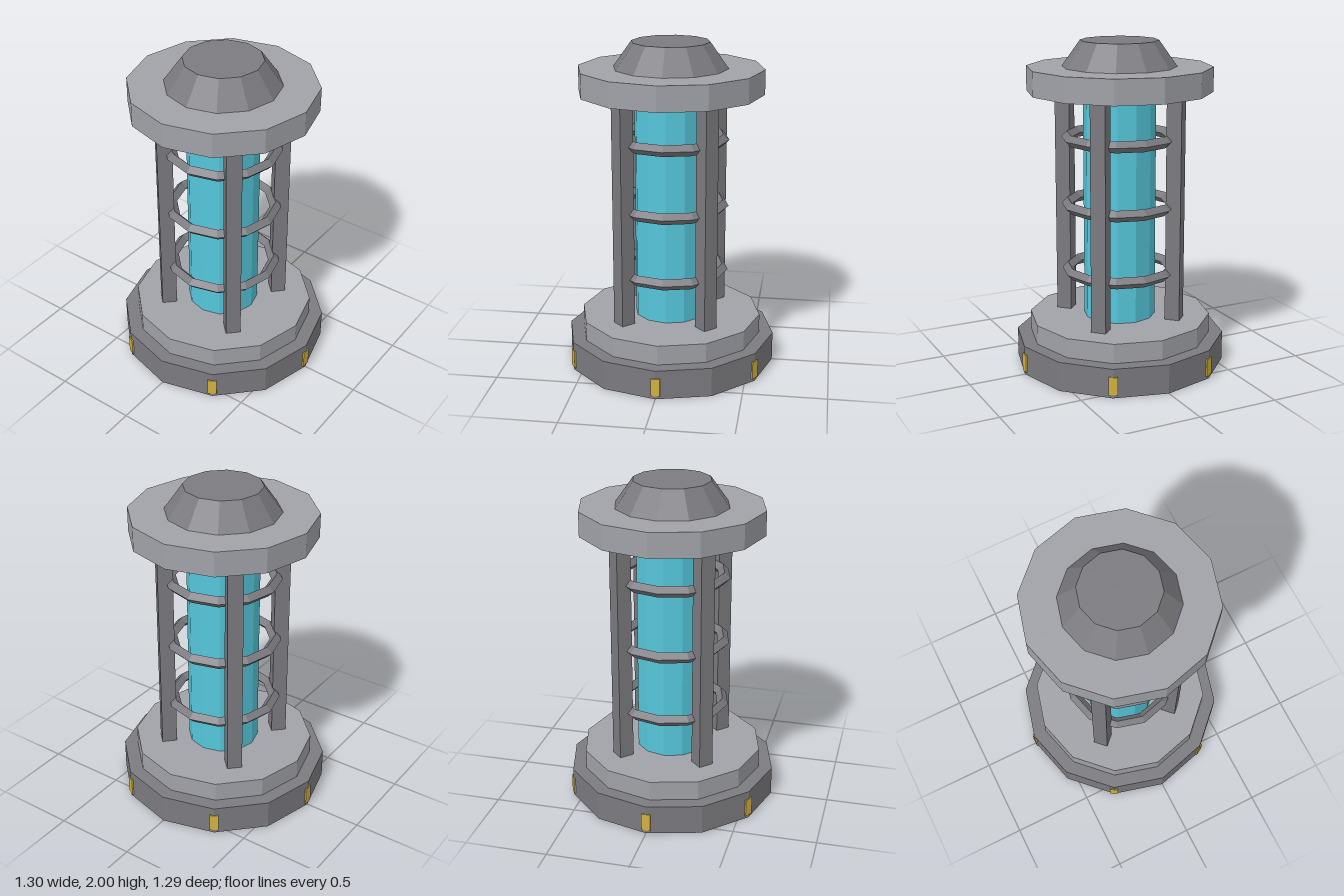
import * as THREE from 'three';

const SIDES = 12;

function material(name, color) {
  const m = new THREE.MeshStandardMaterial({ color, flatShading: true });
  m.name = name;
  return m;
}

export function createModel() {
  const model = new THREE.Group();
  model.name = 'lantern';

  const darkMetal = material('darkMetal', 0x7b7b80);
  const lightMetal = material('lightMetal', 0xa0a2a8);
  const glass = material('cyanGlass', 0x55c6da);
  const gold = material('gold', 0xd4b23e);

  const add = (name, geometry, mat, x = 0, y = 0, z = 0) => {
    const mesh = new THREE.Mesh(geometry, mat);
    mesh.name = name;
    mesh.position.set(x, y, z);
    model.add(mesh);
    return mesh;
  };

  // Twelve-sided drum standing between two heights
  const drum = (name, rTop, rBottom, y0, y1, mat) =>
    add(name, new THREE.CylinderGeometry(rTop, rBottom, y1 - y0, SIDES), mat, 0, (y0 + y1) / 2);

  drum('base', 0.645, 0.645, 0, 0.18, darkMetal);
  drum('lowerCollar', 0.56, 0.56, 0.18, 0.3, lightMetal);
  drum('glassCore', 0.22, 0.22, 0.3, 1.65, glass);
  drum('upperPlate', 0.56, 0.56, 1.695, 1.845, lightMetal);
  drum('cap', 0.235, 0.345, 1.845, 2, darkMetal);

  // Four square posts set on the diagonals
  const postGeometry = new THREE.BoxGeometry(0.092, 1.395, 0.092);
  for (const x of [-0.25, 0.25]) {
    for (const z of [-0.25, 0.25]) {
      add('post', postGeometry, darkMetal, x, 0.9975, z).rotation.y = Math.PI / 4;
    }
  }

  // Three guard rings of diamond section
  const ringGeometry = new THREE.TorusGeometry(0.32, 0.035, 4, SIDES).rotateX(Math.PI / 2);
  for (const y of [0.59, 1.003, 1.416]) add('guardRing', ringGeometry, darkMetal, 0, y, 0);

  // Six small plates on alternate corners of the base
  const plateGeometry = new THREE.BoxGeometry(0.0095, 0.11, 0.055);
  for (let i = 0; i < 6; i++) {
    const a = (i * Math.PI) / 3;
    const r = 0.6435;
    add('basePlate', plateGeometry, gold, r * Math.cos(a), 0.075, -r * Math.sin(a)).rotation.y = a;
  }

  return model;
}
